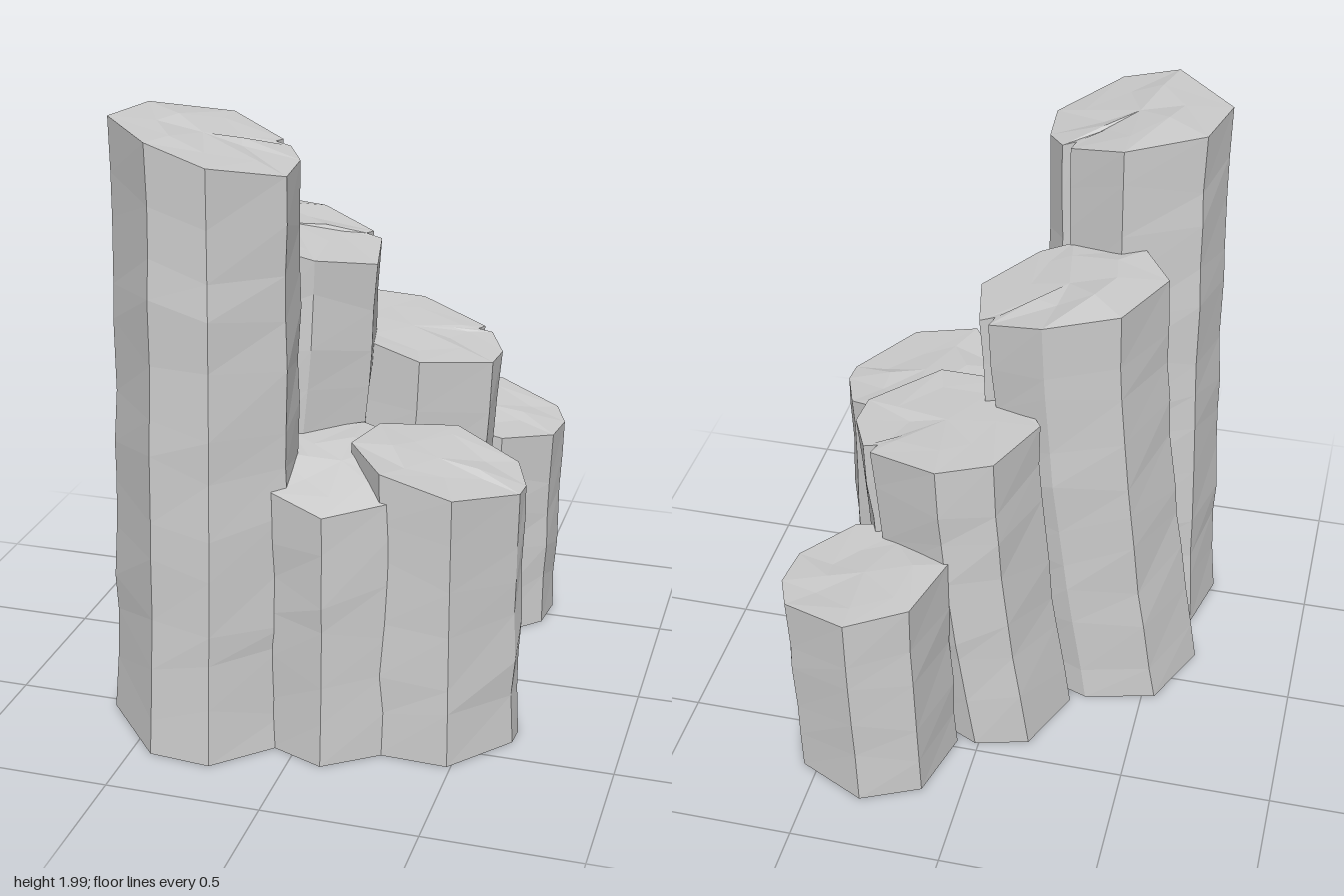
import * as THREE from 'three';

const RAD = Math.PI / 180;

// Small seeded random in -1..1
function makeRandom(seed) {
  let s = seed;
  return () => {
    s = (s * 16807) % 2147483647;
    return (s / 2147483647) * 2 - 1;
  };
}

// Corners on a slightly oval ring at the given bearings, counter-clockwise from above;
// the cleft bearing becomes a narrow notch
function columnOutline({ radius, oval = 0, axis = 0, bearings, cleft }) {
  const corner = (bearing, scale) => {
    const r = radius * scale * (1 + oval * Math.cos(2 * (bearing - axis) * RAD));
    return [r * Math.cos(bearing * RAD), -r * Math.sin(bearing * RAD)];
  };
  return bearings.flatMap((b) => (b === cleft
    ? [corner(b - 5, 1), corner(b, 0.86), corner(b + 5, 1)]
    : [corner(b, 1)]));
}

// Height and slope [x, z] set the tilted top; foot is the drift of the base, flare its widening
function columnGeometry({ centre: [cx, cz], height, slope, cap, foot: [fx, fz], flare = 0, seed, ...shape }) {
  const random = makeRandom(seed * 7919);
  const outline = columnOutline(shape);
  const n = outline.length;
  const topY = (x, z) => Math.min(cap, height + slope[0] * x + slope[1] * z);

  const pos = [];
  const index = [];
  const add = (x, y, z) => pos.push(cx + x, y, cz + z) / 3 - 1;

  // Weathered sides: rings from foot to rim, drifting and wobbling slightly
  const levels = Math.max(4, Math.round(cap / 0.16));
  const rings = [];
  for (let k = 0; k <= levels; k++) {
    const end = k === 0 || k === levels;
    rings.push(outline.map(([x, z]) => {
      const t = end ? k / levels : (k + random() * 0.3) / levels;
      const low = (1 - t) ** 1.5;
      const w = (end ? 1 : 0.986 + random() * 0.02) + flare * low;
      return add(x * w + fx * low, topY(x, z) * t, z * w + fz * low);
    }));
  }

  // Uneven inner ring of the top
  rings.push(outline.map(([x, z]) => {
    const s = 0.55 + random() * 0.16;
    return add(x * s, topY(x * s, z * s) + random() * 0.008, z * s);
  }));

  // Join the rings, then close the top and the underside
  const peak = add(0, topY(0, 0), 0);
  const under = add(fx, 0, fz);
  const inner = rings[rings.length - 1];
  for (let i = 0; i < n; i++) {
    const j = (i + 1) % n;
    for (let k = 0; k < rings.length - 1; k++) {
      const lower = rings[k];
      const upper = rings[k + 1];
      index.push(lower[i], lower[j], upper[j], lower[i], upper[j], upper[i]);
    }
    index.push(inner[i], inner[j], peak, rings[0][j], rings[0][i], under);
  }

  const indexed = new THREE.BufferGeometry();
  indexed.setAttribute('position', new THREE.Float32BufferAttribute(pos, 3));
  indexed.setIndex(index);
  const geometry = indexed.toNonIndexed();
  geometry.computeVertexNormals();
  return geometry;
}

export function createModel() {
  const group = new THREE.Group();
  group.name = 'basaltColumns';
  const stone = new THREE.MeshStandardMaterial({ color: 0xcccccc });
  stone.name = 'paleGreyStone';

  const addColumn = (name, column) => {
    const mesh = new THREE.Mesh(columnGeometry(column), stone);
    mesh.name = name;
    group.add(mesh);
  };

  addColumn('tallestColumn', {
    centre: [-0.31, 0.495], radius: 0.29, oval: 0.07, axis: 145, cleft: 42,
    bearings: [-176, -108, -69, -19, 15, 42, 90, 142],
    height: 1.957, slope: [-0.3, 0], cap: 1.992, foot: [-0.035, 0.02], flare: 0.06, seed: 11,
  });
  addColumn('secondColumn', {
    centre: [-0.18, 0.05], radius: 0.287, oval: 0.09, cleft: 37,
    bearings: [-173, -136, -81, -58, -13, 37, 83, 135],
    height: 1.564, slope: [-0.3, 0], cap: 1.595, foot: [-0.16, 0.05], seed: 23,
  });
  addColumn('thirdColumn', {
    centre: [0.157, -0.208], radius: 0.295, oval: 0.1, axis: 145, cleft: 35,
    bearings: [-182, -125, -72, -22, -1, 35, 97, 131],
    height: 1.162, slope: [-0.19, 0], cap: 1.195, foot: [-0.11, 0.03], seed: 37,
  });
  addColumn('rearColumn', {
    centre: [0.348, -0.55], radius: 0.268,
    bearings: [-166, -115, -68, -21, 9, 36, 92, 138],
    height: 0.771, slope: [-0.2, 0], cap: 0.8, foot: [-0.015, 0.015], seed: 53,
  });
  addColumn('frontRightColumn', {
    centre: [0.385, 0.35], radius: 0.275,
    bearings: [-174, -117, -68, -11, 4, 37, 91, 147],
    height: 0.939, slope: [-0.25, 0], cap: 0.97, foot: [0, 0], seed: 71,
  });
  addColumn('frontMiddleColumn', {
    centre: [0.095, 0.43], radius: 0.26, oval: -0.1,
    bearings: [-176, -127, -86, -38, -17, 40, 92, 146],
    height: 0.928, slope: [-0.08, -0.24], cap: 0.945, foot: [-0.01, 0], seed: 89,
  });
  return group;
}
